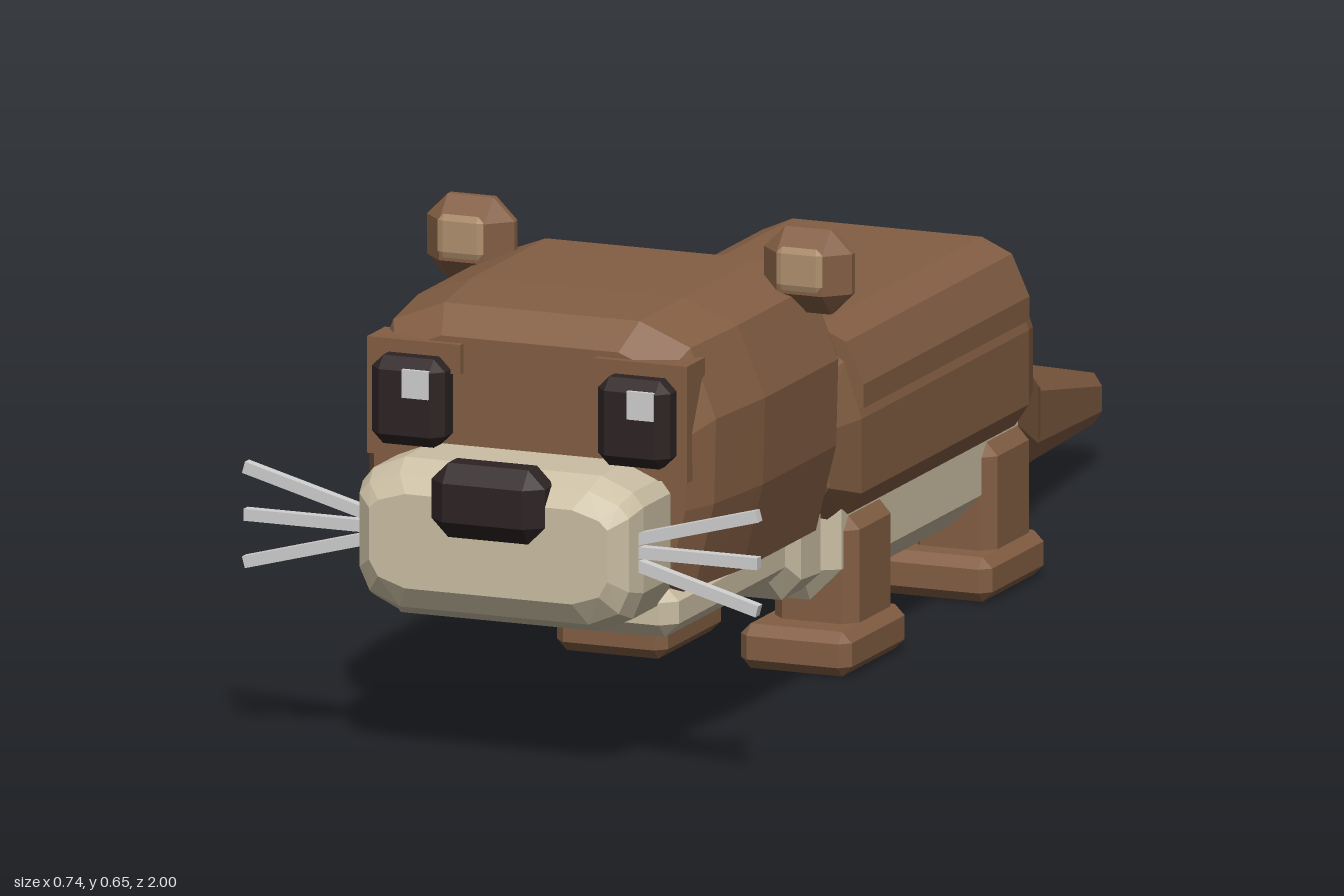
import * as THREE from 'three';
import { ConvexGeometry } from 'three/addons/geometries/ConvexGeometry.js';

const mat = (name, color) => {
  const m = new THREE.MeshStandardMaterial({ color });
  m.name = name;
  return m;
};

export function createModel() {
  const brown = mat('brown fur', 0x835e43);
  const cream = mat('cream fur', 0xcbbfa4);
  const tan = mat('inner ear tan', 0xb0906d);
  const dark = mat('dark eyes and nose', 0x2e2323);
  const pale = mat('pale grey', 0xcfcfcf);

  const model = new THREE.Group();
  model.name = 'animal';

  const add = (name, geometry, material, parent = model) => {
    const mesh = new THREE.Mesh(geometry, material);
    mesh.name = name;
    parent.add(mesh);
    return mesh;
  };

  // Faceted box between two corners; each edge is cut by b = [bx, by, bz]
  const chamfer = ([x0, x1], [y0, y1], [z0, z1], [bx, by, bz]) => {
    const pts = [];
    for (const i of [0, 1]) for (const j of [0, 1]) for (const k of [0, 1]) {
      const X = i ? x1 : x0, Y = j ? y1 : y0, Z = k ? z1 : z0;
      const xi = X + (i ? -bx : bx), yi = Y + (j ? -by : by), zi = Z + (k ? -bz : bz);
      pts.push(new THREE.Vector3(X, yi, zi), new THREE.Vector3(xi, Y, zi), new THREE.Vector3(xi, yi, Z));
    }
    return new ConvexGeometry(pts);
  };

  // Convex hull of one half-outline repeated at several z stations
  // station: [z, x scale, bottom y, top y]; outline: [x, 0..1 height]
  const loft = (outline, stations) => {
    const pts = [];
    for (const [z, sx, y0, y1] of stations)
      for (const [x, t] of outline)
        for (const s of [-1, 1]) pts.push(new THREE.Vector3(s * x * sx, y0 + (y1 - y0) * t, z));
    return new ConvexGeometry(pts);
  };

  // Body, saddle, belly and chest
  const bodyOutline = [[0.13, 1], [0.175, 0.88], [0.2, 0.58], [0.2, 0.18], [0.17, 0]];
  add('body', loft(bodyOutline, [
    [0.315, 0.78, 0.27, 0.36], [0.27, 0.92, 0.22, 0.415], [0.2, 1, 0.19, 0.44],
    [-0.36, 1, 0.19, 0.44], [-0.42, 0.9, 0.2, 0.415], [-0.45, 0.75, 0.23, 0.35],
  ]), brown);
  add('backSaddle', loft([[0.135, 1], [0.178, 0.82], [0.203, 0.3], [0.203, 0]],
    [[0.2, 1, 0.35, 0.456], [-0.355, 1, 0.35, 0.456]]), brown);
  add('belly', chamfer([-0.18, 0.18], [0.09, 0.26], [-0.4, 0.25], [0.045, 0.045, 0.03]), cream);
  add('chest', loft([[0.13, 1], [0.163, 0.84], [0.163, 0.16], [0.135, 0]], [
    [0.338, 0.92, 0.14, 0.275], [0.315, 1, 0.11, 0.297], [0.25, 1, 0.11, 0.27], [0.225, 0.92, 0.135, 0.24],
  ]), cream);

  // Tail in two tapering pieces
  const tailOutline = [[0.7, 1], [1, 0.75], [1, 0.25], [0.7, 0]];
  add('tailBase', loft(tailOutline, [
    [-0.4, 0.13, 0.17, 0.39], [-0.44, 0.122, 0.15, 0.36], [-0.655, 0.088, 0.07, 0.225], [-0.69, 0.076, 0.085, 0.205],
  ]), brown);
  add('tailTip', loft(tailOutline, [
    [-0.6, 0.085, 0.085, 0.225], [-0.68, 0.077, 0.069, 0.208], [-0.985, 0.038, 0.06, 0.128], [-1, 0.03, 0.068, 0.12],
  ]), brown);

  // Legs and feet
  for (const [end, z0, z1, f0, f1] of [['front', 0.075, 0.215, 0.065, 0.27], ['hind', -0.387, -0.247, -0.4, -0.2]])
    for (const s of [1, -1]) {
      const span = (a, b) => (s > 0 ? [a, b] : [-b, -a]);
      const leg = new THREE.Group();
      leg.name = end + (s > 0 ? 'LegLeft' : 'LegRight');
      model.add(leg);
      add('leg', chamfer(span(0.075, 0.196), [0.03, 0.205], [z0, z1], [0.018, 0.02, 0.018]), brown, leg);
      add('foot', chamfer(span(0.052, 0.21), [0, 0.06], [f0, f1], [0.014, 0.014, 0.014]), brown, leg);
    }

  // Head, chin and muzzle
  const headOutline = [[0.15, 1], [0.228, 0.92], [0.267, 0.67], [0.264, 0.36], [0.235, 0.05], [0.19, 0]];
  add('head', loft(headOutline, [
    [0.345, 0.8, 0.27, 0.53], [0.375, 0.9, 0.235, 0.573], [0.435, 1, 0.22, 0.597],
    [0.68, 1, 0.22, 0.597], [0.8, 0.93, 0.22, 0.59], [0.84, 0.84, 0.235, 0.555],
  ]), brown);
  add('chin', chamfer([-0.208, 0.208], [0.175, 0.245], [0.455, 0.85], [0.02, 0.02, 0.02]), cream);
  add('muzzle', loft([[0.14, 1], [0.185, 0.91], [0.2, 0.82], [0.2, 0.27], [0.185, 0.1], [0.14, 0]], [
    [0.8, 1, 0.2, 0.41], [0.93, 1, 0.2, 0.41], [0.96, 0.96, 0.215, 0.395], [0.98, 0.85, 0.245, 0.372],
  ]), cream);
  add('nose', chamfer([-0.081, 0.081], [0.32, 0.42], [0.93, 1], [0.024, 0.024, 0.02]), dark);

  // Paired face parts
  for (const s of [1, -1]) {
    const side = s > 0 ? 'Left' : 'Right';
    const span = (a, b) => (s > 0 ? [a, b] : [-b, -a]);
    const box = (name, w, h, d, x, y, z, m) => {
      const b = add(name + side, new THREE.BoxGeometry(w, h, d), m);
      b.position.set(x, y, z);
      return b;
    };
    box('brow', 0.133, 0.04, 0.06, s * 0.1615, 0.527, 0.82, brown);
    box('cheekRim', 0.09, 0.157, 0.06, s * 0.183, 0.4685, 0.82, brown);
    add('eye' + side, chamfer(span(0.109, 0.213), [0.41, 0.529], [0.825, 0.885], [0.016, 0.016, 0.016]), dark);
    box('eyeGlint', 0.038, 0.038, 0.006, s > 0 ? 0.177 : -0.144, 0.497, 0.885, pale);

    add('ear' + side, chamfer(span(0.178, 0.303), [0.541, 0.655], [0.434, 0.504], [0.03, 0.03, 0.03]), brown);
    add('innerEar' + side, chamfer(span(0.209, 0.274), [0.576, 0.634], [0.5, 0.509], [0.008, 0.008, 0.003]), tan);

    // Three whiskers fanning outwards
    for (const [y0, y1] of [[0.328, 0.377], [0.313, 0.313], [0.298, 0.249]]) {
      const a = new THREE.Vector2(0.185, y0), b = new THREE.Vector2(0.366, y1);
      const w = box('whisker', a.distanceTo(b), 0.016, 0.014, s * (a.x + b.x) / 2, (y0 + y1) / 2, 0.933, pale);
      w.rotation.z = s * Math.atan2(y1 - y0, b.x - a.x);
    }
  }
  return model;
}
